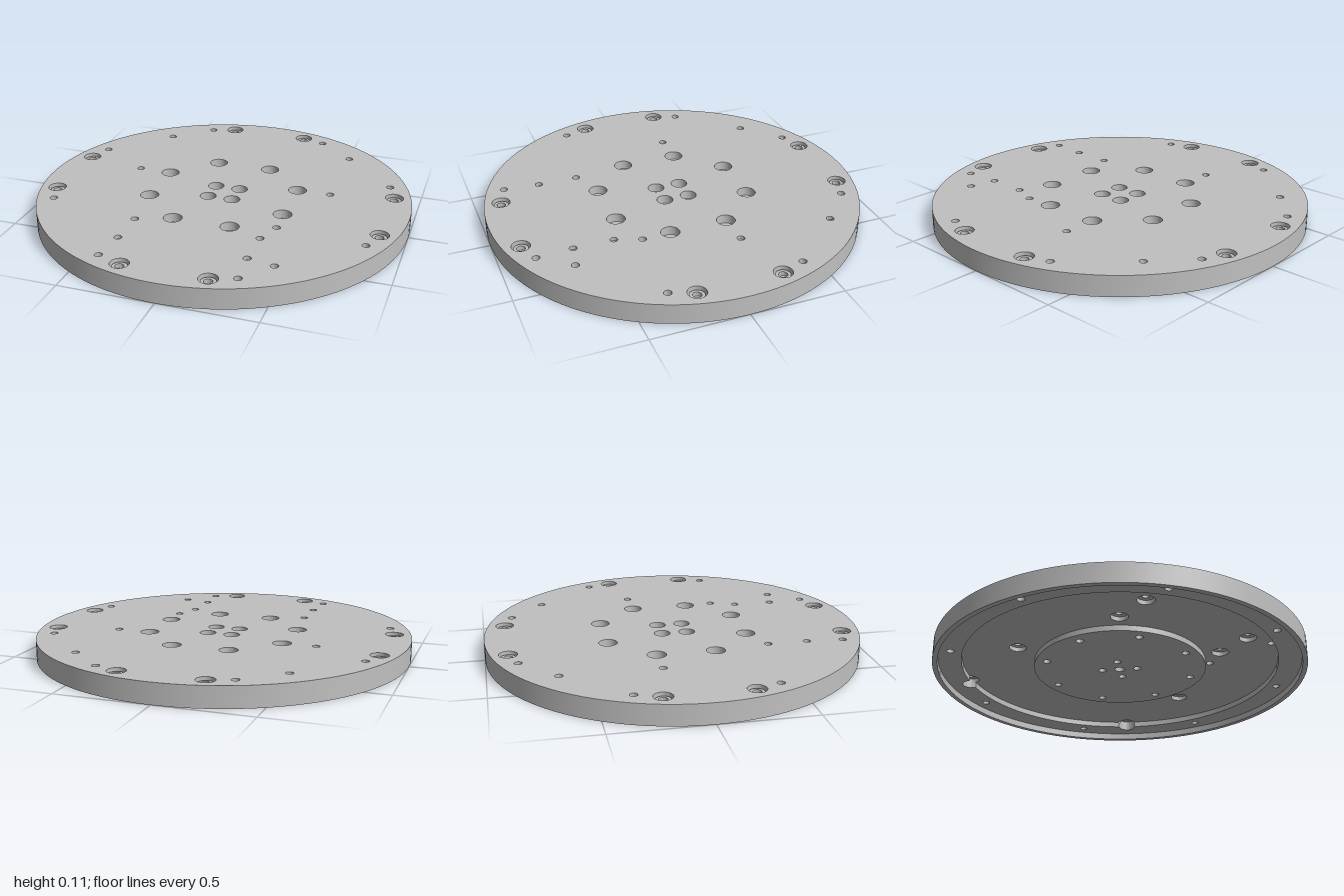
import * as THREE from 'three';
import { toCreasedNormals } from 'three/addons/utils/BufferGeometryUtils.js';

const TOP = 0.108, STEP = 0.035, GROOVE = 0.065;
const R_RIM = 0.973, R_GROOVE = 0.85, R_BOSS = 0.463;
const HOLE = 0.02, BORE = 0.045;

// Closed outlines in the x-z plane
function circle(x, z, r, n = 28) {
  return Array.from({ length: n }, (_, i) => {
    const a = (i / n) * Math.PI * 2;
    return new THREE.Vector2(x + r * Math.cos(a), z + r * Math.sin(a));
  });
}

// Groove edge with the bores that cut across it (side +1: bulging out, -1: cut in)
function grooveEdge(bites, side) {
  return Array.from({ length: 720 }, (_, i) => {
    const a = (i / 720) * Math.PI * 2;
    let r = R_GROOVE;
    for (const [x, z] of bites) {
      const d = Math.hypot(x, z), delta = a - Math.atan2(z, x);
      const off = d * Math.sin(delta);
      if (Math.cos(delta) < 0 || Math.abs(off) >= BORE) continue;
      const t = d * Math.cos(delta) + side * Math.sqrt(BORE * BORE - off * off);
      r = side > 0 ? Math.max(r, t) : Math.min(r, t);
    }
    return new THREE.Vector2(r * Math.cos(a), r * Math.sin(a));
  });
}

// Flat face at height y, looking up or down, with cut-outs
function face(outline, holes, y, up) {
  const s = up ? -1 : 1;
  const conv = pts => pts.map(p => new THREE.Vector2(p.x, s * p.y));
  const shape = new THREE.Shape(conv(outline));
  shape.holes = holes.map(h => new THREE.Path(conv(h)));
  return new THREE.ShapeGeometry(shape).rotateX(s * Math.PI / 2).translate(0, y, 0);
}

// Upright wall along an outline
function wall(pts, y0, y1, outward = false) {
  const n = pts.length, pos = [], idx = [];
  for (const p of pts) pos.push(p.x, y0, p.y, p.x, y1, p.y);
  for (let i = 0; i < n; i++) {
    const a = 2 * i, b = 2 * ((i + 1) % n);
    if (outward) idx.push(a, a + 1, b, b, a + 1, b + 1);
    else idx.push(a, b, a + 1, b, b + 1, a + 1);
  }
  const g = new THREE.BufferGeometry();
  g.setAttribute('position', new THREE.Float32BufferAttribute(pos, 3));
  g.setIndex(idx);
  return toCreasedNormals(g, 0.6);
}

// Eight positions on a bolt circle, mirrored in pairs about the axes
const boltCircle = (r, offset) => [0, 1, 2, 3].flatMap(k => [-1, 1].map(s => {
  const a = k * Math.PI / 2 + s * offset;
  return [r * Math.cos(a), r * Math.sin(a)];
}));
const mirrorX = list => list.flatMap(([x, z]) => [[x, z], [-x, z]]);

export function createModel() {
  const model = new THREE.Group();
  const steel = new THREE.MeshStandardMaterial({ color: 0xc0c0c0 });
  steel.name = 'grey metal';

  const part = (name, ...geos) => {
    const g = new THREE.Group();
    g.name = name;
    for (const geo of geos) {
      const m = new THREE.Mesh(geo, steel);
      m.name = name;
      g.add(m);
    }
    model.add(g);
  };
  const cut = (list, r) => list.map(([x, z]) => circle(x, z, r));

  // Hole layout
  const rimHoles = boltCircle(0.91, Math.PI / 8);
  const rimScrews = boltCircle(0.912, 0.244);
  const bossHoles = boltCircle(0.4, Math.PI / 8);
  const centreHoles = mirrorX([[0.067, 0.067], [0.067, -0.067]]);
  const plainHoles = [[0.38, 0.305], [0.475, 0.68]];
  const edgeBores = mirrorX([[0.55, -0.66]]);
  const grooveBores = mirrorX([[0.55, -0.155], [0.333, 0.44], [0.333, 0.65]]);
  const underBores = [...edgeBores, ...grooveBores];

  // Disc body
  const outer = circle(0, 0, 1, 144), rim = circle(0, 0, R_RIM, 144);
  const boss = circle(0, 0, R_BOSS, 144), pilot = circle(0, 0, 0.027);
  const ringInner = grooveEdge(edgeBores, 1);
  part('topFace', face(outer, [
    ...cut([...rimHoles, ...plainHoles, ...underBores], HOLE),
    ...cut(rimScrews, 0.048), ...cut(bossHoles, 0.049), ...cut(centreHoles, 0.043),
  ], TOP, true));
  part('outerEdge', wall(outer, 0, TOP, true));
  part('bottomRim', face(outer, [rim], 0, false), wall(rim, 0, STEP));
  part('undersideRing',
    face(rim, [ringInner, ...cut(rimHoles, HOLE)], STEP, false),
    wall(ringInner, STEP, GROOVE));
  part('undersideGroove', face(grooveEdge(edgeBores, -1),
    [boss, ...cut(plainHoles, HOLE), ...cut(grooveBores, BORE)], GROOVE, false));
  part('centreBoss',
    face(boss, [pilot, ...cut([...bossHoles, ...centreHoles], HOLE)], STEP, false),
    wall(boss, STEP, GROOVE, true));
  part('pilotHole', wall(pilot, STEP, 0.07), face(pilot, [], 0.07, false));

  // Plain through holes
  for (const [x, z] of rimHoles) part('rimHole', wall(circle(x, z, HOLE), STEP, TOP));
  for (const [x, z] of plainHoles) part('plainHole', wall(circle(x, z, HOLE), GROOVE, TOP));

  // Holes counterbored from above
  const topBore = (name, list, r) => {
    for (const [x, z] of list) {
      const big = circle(x, z, r), small = circle(x, z, HOLE);
      part(name, wall(big, 0.06, TOP), face(big, [small], 0.06, true), wall(small, STEP, 0.06));
    }
  };
  topBore('bossCounterbore', bossHoles, 0.049);
  topBore('centreCounterbore', centreHoles, 0.043);

  // Holes counterbored from below
  for (const [x, z] of underBores) {
    const big = circle(x, z, BORE), small = circle(x, z, HOLE);
    part('undersideCounterbore', wall(big, GROOVE, 0.088),
      face(big, [small], 0.088, false), wall(small, 0.088, TOP));
  }

  // Socket screws sunk in the rim
  for (const [x, z] of rimScrews) {
    const bore = circle(x, z, 0.048), head = circle(x, z, 0.038), socket = circle(x, z, 0.022);
    part('screwRecess', wall(bore, 0.05, TOP), face(bore, [head], 0.05, true));
    part('rimScrew', wall(head, 0.05, 0.093, true), face(head, [socket], 0.093, true),
      wall(socket, 0.07, 0.093), face(socket, [], 0.07, true));
  }
  return model;
}
